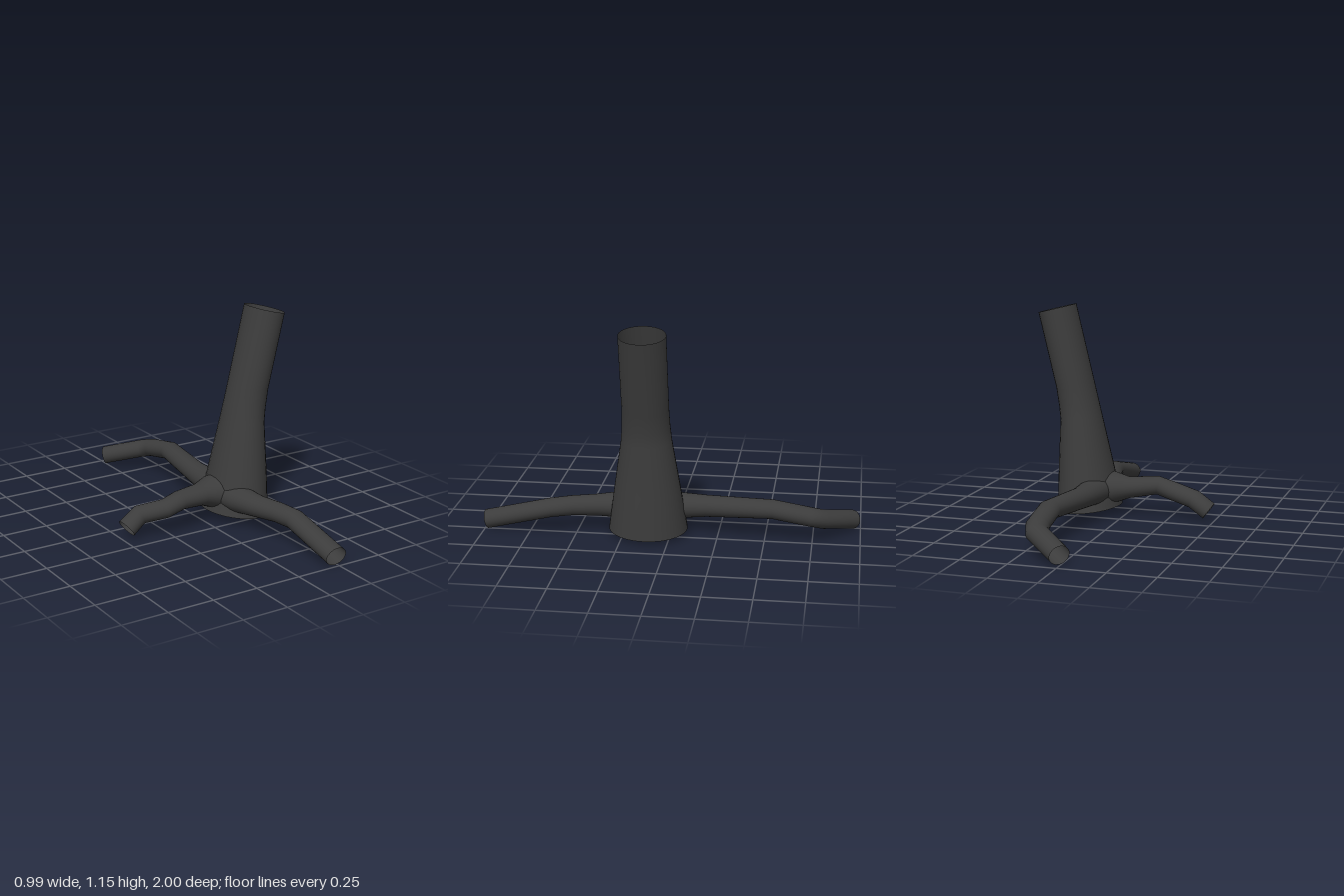
import * as THREE from 'three';

const SIDES = 28;
const X = new THREE.Vector3(1, 0, 0);
const Y = new THREE.Vector3(0, 1, 0);

const bark = new THREE.MeshStandardMaterial({ color: 0x3c3c3c, side: THREE.DoubleSide });

// Open tube through stations [x, y, z, half-width, half-height]; "up" sets the half-height direction
function limb(name, stations, up) {
  const centres = stations.map(([x, y, z]) => new THREE.Vector3(x, y, z));
  const positions = [];
  const index = [];
  const last = stations.length - 1;
  stations.forEach(([, , , a, b], i) => {
    // Each ring faces the mean direction of its two neighbouring segments
    const t = new THREE.Vector3();
    if (i > 0) t.add(centres[i].clone().sub(centres[i - 1]).normalize());
    if (i < last) t.add(centres[i + 1].clone().sub(centres[i]).normalize());
    t.normalize();
    const u = t.clone().cross(up).normalize();
    const v = u.clone().cross(t);
    for (let j = 0; j < SIDES; j++) {
      const angle = (j / SIDES) * Math.PI * 2;
      const p = centres[i].clone()
        .addScaledVector(u, Math.cos(angle) * a)
        .addScaledVector(v, Math.sin(angle) * b);
      positions.push(p.x, p.y, p.z);
      if (i < last) {
        const k = (j + 1) % SIDES;
        const p0 = i * SIDES + j, p1 = i * SIDES + k;
        index.push(p0, p0 + SIDES, p1, p1, p0 + SIDES, p1 + SIDES);
      }
    }
  });
  const geometry = new THREE.BufferGeometry();
  geometry.setAttribute('position', new THREE.Float32BufferAttribute(positions, 3));
  geometry.setIndex(index);
  geometry.computeVertexNormals();
  const mesh = new THREE.Mesh(geometry, bark);
  mesh.name = name;
  return mesh;
}

export function createModel() {
  const group = new THREE.Group();
  group.name = 'treeStump';

  // Leaning hollow trunk, wide at the foot
  group.add(limb('trunk', [
    [0.205, 0.04, 0.12, 0.21, 0.176],
    [0.229, 0.27, 0.12, 0.176, 0.148],
    [0.256, 0.54, 0.12, 0.134, 0.112],
    [0.27, 0.62, 0.12, 0.127, 0.107],
    [0.29, 0.72, 0.12, 0.123, 0.103],
    [0.39, 1.13, 0.12, 0.123, 0.103],
  ], X));

  // Roots, from the trunk outwards
  group.add(limb('rightRoot', [
    [0.15, 0.155, 0.115, 0.12, 0.095],
    [0.06, 0.155, 0.115, 0.105, 0.085],
    [-0.02, 0.158, 0.125, 0.071, 0.058],
    [-0.17, 0.17, 0.167, 0.06, 0.05],
    [-0.26, 0.142, 0.167, 0.058, 0.05],
    [-0.385, 0.118, 0.118, 0.058, 0.05],
    [-0.467, 0.058, 0.12, 0.06, 0.05],
  ], Y));

  group.add(limb('frontRoot', [
    [0.15, 0.14, 0.16, 0.1, 0.075],
    [0.152, 0.14, 0.27, 0.08, 0.07],
    [0.175, 0.14, 0.4, 0.064, 0.057],
    [0.21, 0.143, 0.53, 0.06, 0.052],
    [0.235, 0.135, 0.64, 0.06, 0.05],
    [0.237, 0.055, 0.99, 0.06, 0.05],
  ], Y));

  group.add(limb('backRoot', [
    [0.15, 0.15, 0.08, 0.1, 0.08],
    [0.15, 0.15, -0.03, 0.08, 0.068],
    [0.157, 0.155, -0.19, 0.064, 0.057],
    [0.203, 0.17, -0.54, 0.06, 0.05],
    [0.195, 0.135, -0.73, 0.06, 0.05],
    [0.17, 0.115, -0.8, 0.06, 0.05],
    [0.0, 0.058, -0.955, 0.055, 0.05],
  ], Y));

  return group;
}
